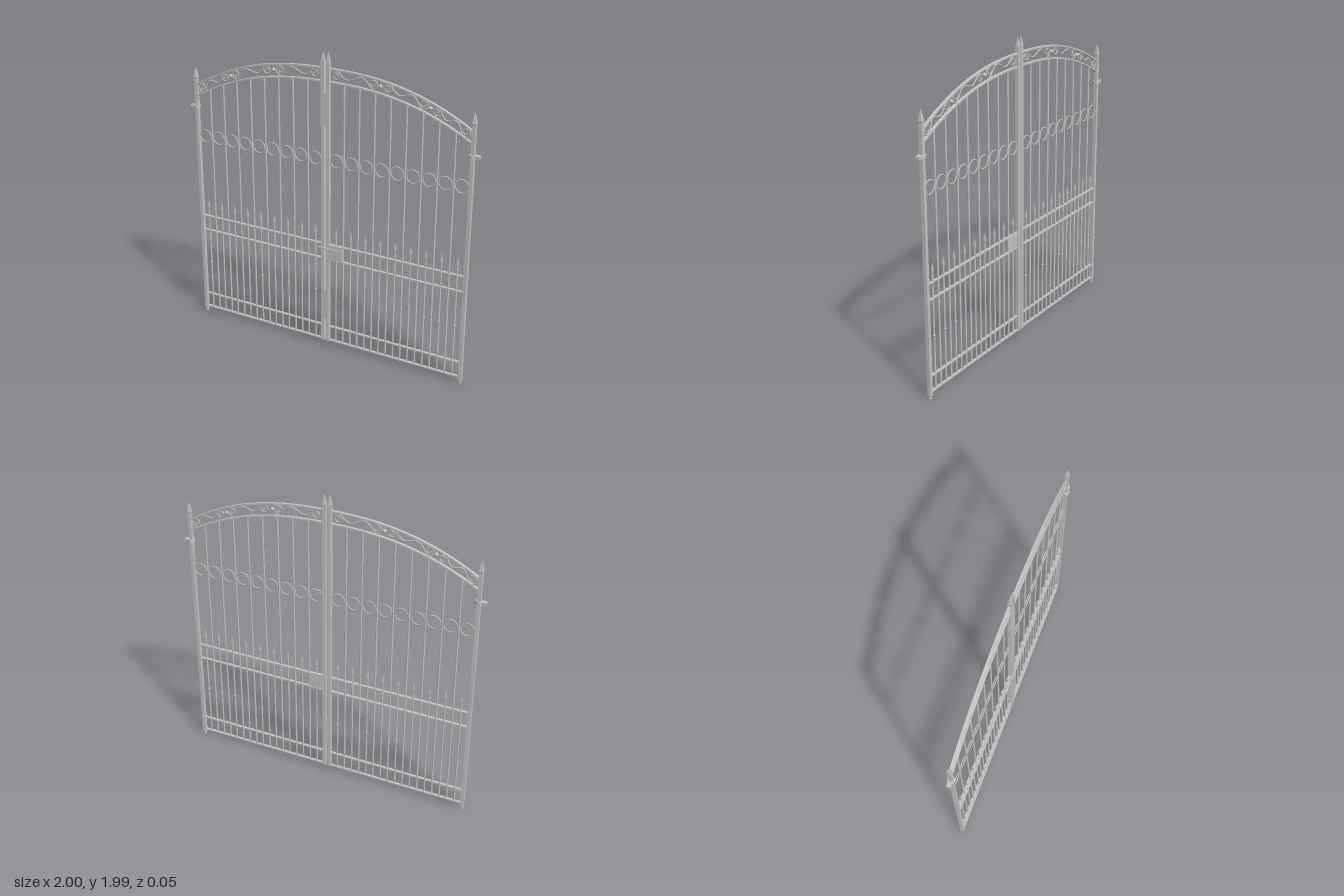
import * as THREE from 'three';

export function createModel() {
  const iron = new THREE.MeshStandardMaterial({ color: 0xc6c6c6 });
  iron.name = 'light grey iron';
  const gate = new THREE.Group();
  gate.name = 'doubleGate';

  const add = (parent, name, geo, x = 0, y = 0, z = 0) => {
    const mesh = new THREE.Mesh(geo, iron);
    mesh.name = name;
    mesh.position.set(x, y, z);
    parent.add(mesh);
    return mesh;
  };
  const box = (parent, name, x0, x1, y0, y1, z0, z1) =>
    add(parent, name, new THREE.BoxGeometry(Math.abs(x1 - x0), y1 - y0, z1 - z0),
      (x0 + x1) / 2, (y0 + y1) / 2, (z0 + z1) / 2);

  // Round bar standing between two heights
  const bar = (parent, name, x, y0, y1, r) =>
    add(parent, name, new THREE.CylinderGeometry(r, r, y1 - y0, 8), x, (y0 + y1) / 2);

  // Spear point: flared base tapering to a tip
  const spear = (parent, name, x, y, h, r, sides) => {
    const profile = [[0, 0], [r * 0.8, 0], [r, h * 0.2], [r * 0.55, h * 0.6], [0, h]]
      .map(([a, b]) => new THREE.Vector2(a, b));
    const geo = new THREE.LatheGeometry(profile, sides, Math.PI / sides).toNonIndexed();
    geo.computeVertexNormals();
    return add(parent, name, geo, x, y);
  };

  // Heights of the two arched rails
  const fall = (x) => Math.pow(Math.abs(x) / 0.955, 2.4);
  const upperArch = (x) => 1.88 - 0.24 * fall(x);
  const lowerArch = (x) => 1.799 - 0.232 * fall(x);

  const archRail = (parent, name, s, curve) => {
    const top = [], bottom = [];
    for (let i = 0; i <= 28; i++) {
      const x = 0.02 + (0.955 - 0.02) * i / 28;
      top.push(new THREE.Vector2(s * x, curve(x) + 0.005));
      bottom.unshift(new THREE.Vector2(s * x, curve(x) - 0.005));
    }
    const geo = new THREE.ExtrudeGeometry(new THREE.Shape([...top, ...bottom]),
      { depth: 0.018, bevelEnabled: false });
    geo.translate(0, 0, -0.009);
    add(parent, name, geo);
  };

  // S-shaped scroll with a spiral at either end
  const scroll = (parent, s, a, b) => {
    const n = 14, turns = 1.35 * Math.PI * 2;
    const tilt = Math.atan2(b[1] - a[1], b[0] - a[0]);
    const spiral = (c, dir) => {
      const list = [];
      for (let i = 0; i <= n; i++) {
        const t = i / n;
        const r = 0.008 + 0.024 * t;
        const ang = tilt - dir * Math.PI / 2 - turns * dir * (1 - t);
        list.push(new THREE.Vector3(s * (c[0] + Math.cos(ang) * r), c[1] + Math.sin(ang) * r, 0));
      }
      return list;
    };
    const sway = (t, offset) => new THREE.Vector3(
      s * (a[0] + (b[0] - a[0]) * t), a[1] + (b[1] - a[1]) * t + offset, 0);
    const pts = [...spiral(a, -1), sway(0.3, 0.025), sway(0.7, -0.012),
      ...spiral(b, 1).reverse()];
    const path = new THREE.CatmullRomCurve3(pts, false, 'centripetal');
    add(parent, 'scroll', new THREE.TubeGeometry(path, 110, 0.0042, 6, false));
  };

  for (const s of [-1, 1]) {
    const leaf = new THREE.Group();
    leaf.name = s > 0 ? 'leftLeaf' : 'rightLeaf';
    gate.add(leaf);

    // Outer post with foot, point and hinge
    const px = s * 0.955;
    box(leaf, 'outerPost', px - 0.011, px + 0.011, 0.02, 1.68, -0.012, 0.012);
    add(leaf, 'postFoot', new THREE.CylinderGeometry(0.01, 0.01, 0.03, 10), px, 0.015);
    spear(leaf, 'postPoint', px, 1.675, 0.085, 0.018, 4);
    add(leaf, 'hingeCollar', new THREE.CylinderGeometry(0.023, 0.023, 0.018, 10), px, 1.497);
    box(leaf, 'hingePin', s * 0.96, s * 1, 1.488, 1.506, -0.013, 0.013);

    // Meeting stile at the centre
    const mx = s * 0.0175;
    box(leaf, 'meetingStile', mx - 0.011, mx + 0.011, 0.035, 1.92, -0.012, 0.012);
    spear(leaf, 'stilePoint', mx, 1.9, 0.085, 0.016, 4);

    // Straight rails and arches
    for (const y of [0.043, 0.145, 0.63, 0.733])
      box(leaf, 'rail', s * 0.02, s * 0.955, y - 0.004, y + 0.004, -0.009, 0.009);
    archRail(leaf, 'upperArch', s, upperArch);
    archRail(leaf, 'lowerArch', s, lowerArch);

    // Tall bars reaching the lower arch
    for (let i = 0; i < 8; i++) {
      const x = 0.126 + i * 0.103;
      bar(leaf, 'tallBar', s * x, 0.043, lowerArch(x), 0.006);
    }
    // Short spear-topped bars with a ring above each
    for (let i = 0; i < 9; i++) {
      const x = s * (0.075 + i * 0.103);
      bar(leaf, 'shortBar', x, 0.043, 0.8, 0.0055);
      spear(leaf, 'spearPoint', x, 0.79, 0.065, 0.009, 4);
      add(leaf, 'ring', new THREE.TorusGeometry(0.042, 0.0042, 6, 24), x, 1.302);
    }
    // Small knots on some short bars
    for (const i of s > 0 ? [6, 7, 8] : [0, 2, 4, 8])
      add(leaf, 'barKnot', new THREE.SphereGeometry(0.009, 8, 6), s * (0.075 + i * 0.103), 0.39);

    // Scrollwork between the arches
    scroll(leaf, s, [0.905, 1.63], [0.725, 1.723]);
    scroll(leaf, s, [0.642, 1.752], [0.412, 1.816]);
    scroll(leaf, s, [0.318, 1.826], [0.07, 1.843]);
    for (const [x, y] of [[0.684, 1.737], [0.365, 1.82]])
      add(leaf, 'scrollCollar', new THREE.SphereGeometry(0.013, 10, 8), s * x, y);
  }

  // Cover strips closing the gap between the stiles
  box(gate, 'upperCoverStrip', -0.008, 0.008, 1.52, 1.73, 0.002, 0.012);
  box(gate, 'lowerCoverStrip', -0.008, 0.008, 0.2, 0.41, 0.002, 0.012);

  // Lock case and lever
  box(gate, 'lockCase', 0.02, 0.122, 0.63, 0.735, -0.004, 0.014);
  box(gate, 'lockLever', -0.045, 0.115, 0.705, 0.712, 0.013, 0.021);
  return gate;
}
